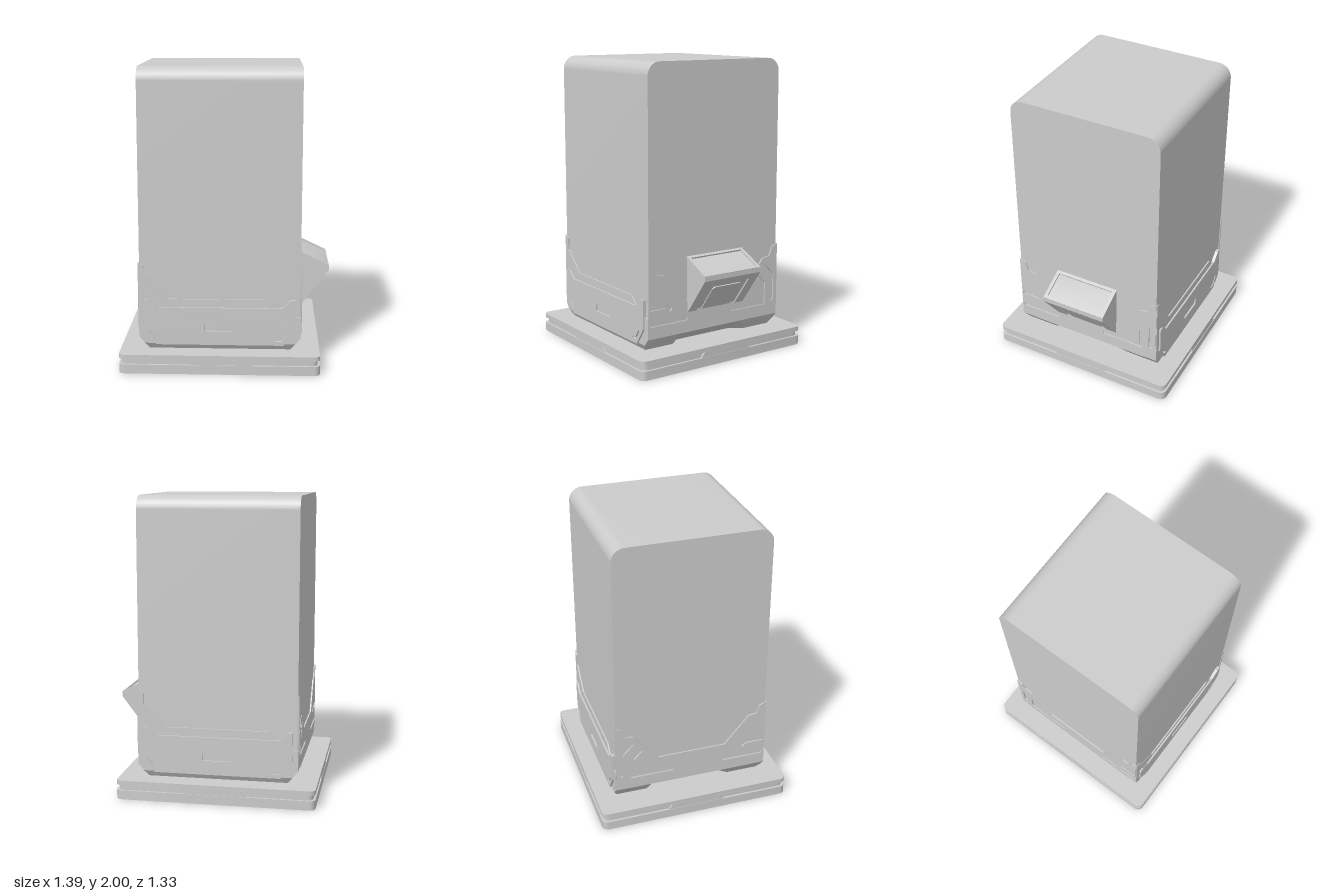
import * as THREE from 'three';
import { toCreasedNormals } from 'three/addons/utils/BufferGeometryUtils.js';

const material = new THREE.MeshStandardMaterial({ color: 0xcccccc });
const HALF_X = 0.5325, HALF_Z = 0.53;

function add(parent, name, geometry) {
  const mesh = new THREE.Mesh(geometry, material);
  mesh.name = name;
  parent.add(mesh);
  return mesh;
}

// Polygon shape, optionally with polygon holes
function poly(points, holes = []) {
  const vec = (list) => list.map(([x, y]) => new THREE.Vector2(x, y));
  const shape = new THREE.Shape(vec(points));
  holes.forEach((h) => shape.holes.push(new THREE.Path(vec(h))));
  return shape;
}

function extrude(shape, depth, start = 0, curveSegments = 10) {
  const g = new THREE.ExtrudeGeometry(shape, { depth, bevelEnabled: false, curveSegments });
  return toCreasedNormals(g.translate(0, 0, start), 0.5);
}

// Outline of a constant-width stroke along a polyline
function stroke(points, width) {
  const p = points.map(([x, y]) => new THREE.Vector2(x, y));
  const left = [], right = [];
  p.forEach((q, i) => {
    const d1 = p[Math.max(i, 1)].clone().sub(p[Math.max(i, 1) - 1]).normalize();
    const k = Math.min(i + 1, p.length - 1);
    const d2 = p[k].clone().sub(p[k - 1]).normalize();
    const n = new THREE.Vector2(-d1.y - d2.y, d1.x + d2.x).normalize();
    const m = width / 2 / (n.x * -d1.y + n.y * d1.x);
    left.push([q.x + n.x * m, q.y + n.y * m]);
    right.unshift([q.x - n.x * m, q.y - n.y * m]);
  });
  return [...left, ...right];
}

function roundedRect(hx, hy, r) {
  const s = new THREE.Shape();
  s.absarc(hx - r, hy - r, r, 0, Math.PI / 2);
  s.absarc(-hx + r, hy - r, r, Math.PI / 2, Math.PI);
  s.absarc(-hx + r, -hy + r, r, Math.PI, Math.PI * 1.5);
  s.absarc(hx - r, -hy + r, r, Math.PI * 1.5, Math.PI * 2);
  return s;
}

// Two slabs with a groove between them, bridged in the middle of each side
function buildBase() {
  const base = new THREE.Group();
  base.name = 'base';
  const slab = (name, inset, y0, y1) =>
    add(base, name, extrude(roundedRect(0.6625 - inset, 0.665 - inset, 0.04), y1 - y0, y0, 3).rotateX(-Math.PI / 2));
  slab('lowerSlab', 0, 0, 0.062);
  slab('grooveCore', 0.015, 0.055, 0.105);
  slab('upperSlab', 0, 0.098, 0.128);
  const bridge = () => extrude(poly([[-0.205, 0.055], [0.205, 0.055], [0.165, 0.105], [-0.165, 0.105]]), 1.32, -0.66);
  add(base, 'frontBackBridge', bridge());
  add(base, 'sideBridge', bridge().rotateY(Math.PI / 2));
  return base;
}

// Tall housing, rounded along the front and back top edges
function buildHousing() {
  const r = 0.09, s = new THREE.Shape();
  s.moveTo(-HALF_Z, 0.25);
  s.lineTo(HALF_Z, 0.25);
  s.absarc(HALF_Z - r, 2 - r, r, 0, Math.PI / 2);
  s.absarc(-HALF_Z + r, 2 - r, r, Math.PI / 2, Math.PI);
  return extrude(s, HALF_X * 2, -HALF_X).rotateY(Math.PI / 2);
}

// Chamfered underside: sections along z, hollowed in the middle of each side
function buildSkirt() {
  const half = [[0.54, 0.17, 0.5], [0.51, 0.122, 0.465], [0.3, 0.122, 0.465], [0.22, 0.122, 0.4]];
  const stations = [...half.map(([z, y, x]) => [-z, y, x]), ...half.slice().reverse()];
  const ring = ([z, y, x]) => [
    [-x, y, z], [x, y, z], [0.5375, 0.215, z], [0.5375, 0.3, z], [-0.5375, 0.3, z], [-0.5375, 0.215, z],
  ];
  const rings = stations.map(ring), pos = [];
  const tri = (a, b, c) => pos.push(...a, ...b, ...c);
  for (let i = 0; i < rings.length - 1; i++) {
    for (let j = 0; j < 6; j++) {
      const k = (j + 1) % 6, a = rings[i], b = rings[i + 1];
      tri(a[j], a[k], b[k]);
      tri(a[j], b[k], b[j]);
    }
  }
  const first = rings[0], last = rings[rings.length - 1];
  for (let j = 1; j < 5; j++) {
    tri(first[0], first[j + 1], first[j]);
    tri(last[0], last[j], last[j + 1]);
  }
  const g = new THREE.BufferGeometry();
  g.setAttribute('position', new THREE.Float32BufferAttribute(pos, 3));
  g.computeVertexNormals();
  return g;
}

// Armour plate and raised panel, made for the front and turned for the back
function buildEnd(name, angle) {
  const end = new THREE.Group();
  end.name = name;
  end.rotation.y = angle;
  add(end, 'shellPlate', extrude(poly([
    [-0.5375, 0.22], [0.5375, 0.22], [0.5375, 0.36], [0.45, 0.36], [0.34, 0.475],
    [-0.345, 0.475], [-0.5, 0.62], [-0.5, 0.7], [-0.5375, 0.72],
  ]), 0.02, 0.52));
  const slot = [[-0.1, 0.26], [0.09, 0.26], [0.09, 0.31], [-0.1, 0.31]];
  const ticks = [
    stroke([[-0.47, 0.27], [-0.42, 0.2]], 0.014),
    stroke([[0.37, 0.2], [0.41, 0.2], [0.45, 0.26]], 0.014),
  ];
  add(end, 'raisedPanel', extrude(poly([
    [-0.4225, 0.165], [0.4225, 0.165], [0.5, 0.28], [0.5, 0.475], [0.47, 0.475], [0.41, 0.42],
    [-0.41, 0.42], [-0.47, 0.475], [-0.5, 0.475], [-0.5, 0.28],
  ], [slot, ...ticks]), 0.052, 0.5));
  return end;
}

// Side armour with cut channels; a runs towards the back
function buildSide(sign) {
  const top = [[0.535, 0.72], [0.49, 0.7], [0.47, 0.64], [0.41, 0.63], [0.24, 0.43]];
  const mirrored = top.map(([a, y]) => [-a, y]).reverse();
  const outline = [[-0.44, 0.217], [0.44, 0.217], [0.505, 0.24], [0.535, 0.3], ...top, ...mirrored, [-0.535, 0.3], [-0.505, 0.24]];
  const channels = [
    [[0.13, 0.31], [0.42, 0.31], [0.42, 0.45], [0.355, 0.515]],
    [[0.495, 0.32], [0.495, 0.5], [0.42, 0.575]],
    [[-0.525, 0.42], [-0.4, 0.42], [-0.36, 0.39]],
    [[-0.525, 0.31], [-0.23, 0.31]],
  ].map((path) => stroke(path, 0.025));
  const flip = (list) => list.map(([a, y]) => [a * sign, y]);
  return extrude(poly(flip(outline), channels.map(flip)), 0.012, 0.53).rotateY((sign * Math.PI) / 2);
}

// Wedge console with a framed display and a recessed underside
function buildConsole() {
  const unit = new THREE.Group();
  unit.name = 'console';
  unit.position.x = 0.0375;
  add(unit, 'consoleCore', extrude(poly([
    [0.48, 0.36], [0.5, 0.36], [0.684, 0.603], [0.69, 0.615], [0.69, 0.626], [0.495, 0.718], [0.48, 0.718],
  ]), 0.456, -0.228));

  const rect = (x0, x1, h) => [[x0, -h], [x1, -h], [x1, h], [x0, h]];
  const frame = add(unit, 'displayFrame',
    extrude(poly(rect(0, 0.2214, 0.23), [rect(0.022, 0.2, 0.207)]), 0.014, -0.014).rotateX(-Math.PI / 2));
  frame.position.set(0.495, 0.73, 0);
  frame.rotation.z = Math.atan2(-0.095, 0.2);
  add(unit, 'lip', new THREE.BoxGeometry(0.012, 0.034, 0.46).translate(0.689, 0.617, 0));

  const under = new THREE.Group();
  under.name = 'underside';
  under.position.set(0.51, 0.355, 0);
  under.rotation.z = Math.atan2(0.245, 0.185);
  add(under, 'undersideFrame', extrude(poly([
    [0, -0.23], [0.307, -0.23], [0.307, 0.23], [0, 0.23], [0, 0.16], [0.245, 0.16], [0.257, 0.148],
    [0.257, -0.148], [0.245, -0.16], [0, -0.16],
  ]), 0.014, -0.014).rotateX(Math.PI / 2));
  add(under, 'undersidePad', extrude(poly([
    [0, -0.118], [0.205, -0.118], [0.22, -0.103], [0.22, 0.103], [0.205, 0.118], [0, 0.118],
  ]), 0.01, -0.014).rotateX(Math.PI / 2));
  unit.add(under);
  return unit;
}

export function createModel() {
  const model = new THREE.Group();
  model.name = 'pedestalUnit';
  // The base and housing share an axis, offset to balance the console
  const body = new THREE.Group();
  body.name = 'body';
  body.position.x = -0.0375;
  model.add(body);
  body.add(buildBase());
  add(body, 'housing', buildHousing());
  add(body, 'skirt', buildSkirt());
  body.add(buildEnd('frontArmour', 0), buildEnd('backArmour', Math.PI));
  add(body, 'leftArmour', buildSide(1));
  add(body, 'rightArmour', buildSide(-1));
  body.add(buildConsole());
  return model;
}
